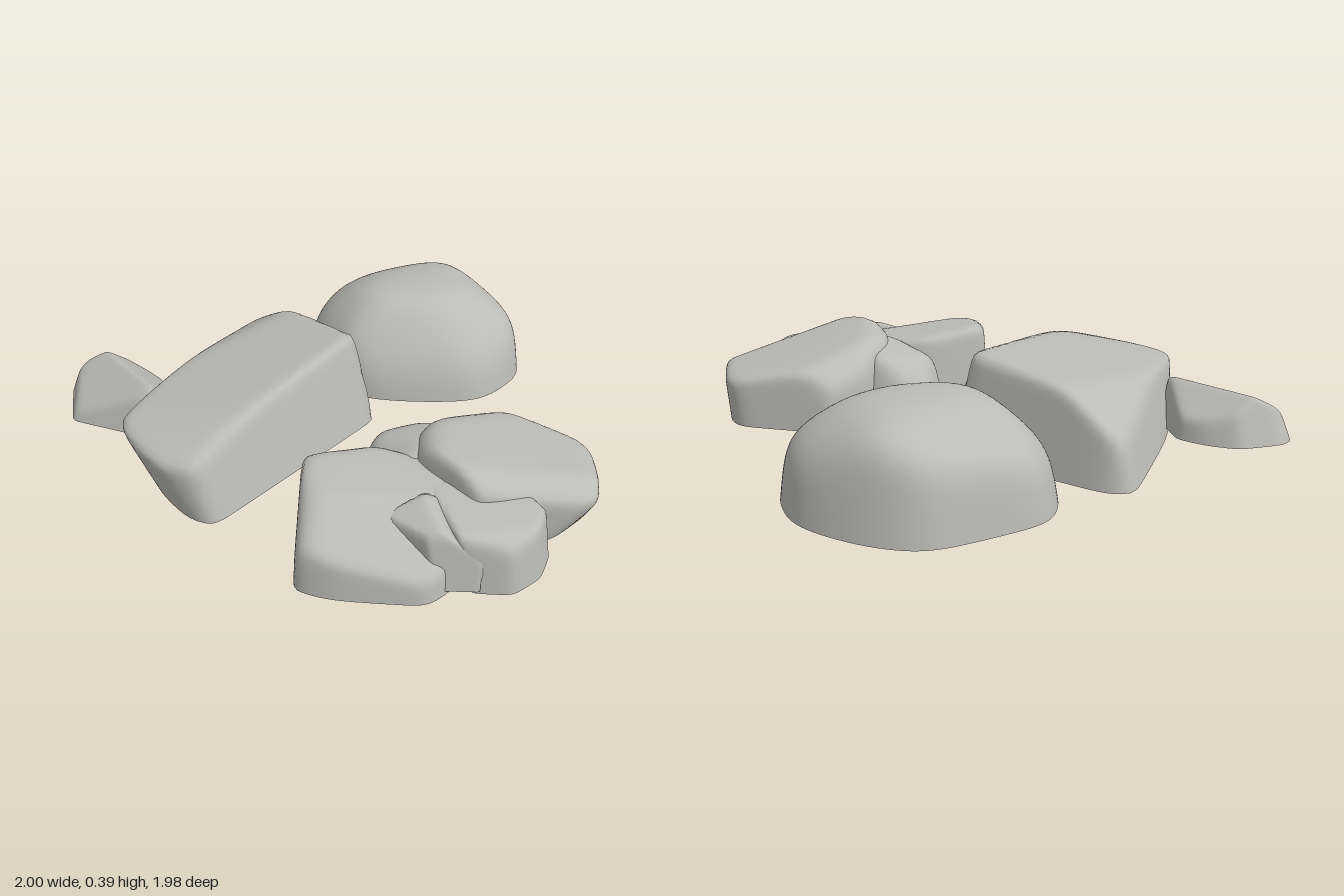
import * as THREE from 'three';
import { mergeGeometries, mergeVertices } from 'three/addons/utils/BufferGeometryUtils.js';

// Rounded rock: walls rise from a base outline, and sloping planes cut the top.
// base: [x, z, lean] corners; lean is the inward slope of the wall that starts there (negative overhangs).
// cuts: [px, py, pz, nx, ny, nz] a point and outward normal of each upper face.
// sharp: how crisp the edges between faces are.
function rockGeometry({ floor, sharp, base, cuts }) {
  const n = base.length;
  const cx = base.reduce((s, b) => s + b[0], 0) / n;
  const cz = base.reduce((s, b) => s + b[1], 0) / n;
  const planes = [];
  base.forEach(([x, z, lean], i) => {
    const next = base[(i + 1) % n];
    const normal = new THREE.Vector3(next[1] - z, 0, x - next[0]).normalize();
    let h = normal.x * (x - cx) + normal.z * (z - cz);
    if (h < 0) { normal.negate(); h = -h; }
    normal.y = lean;
    planes.push(normal.divideScalar(h));
  });
  for (const [px, py, pz, nx, ny, nz] of cuts) {
    const h = nx * (px - cx) + ny * (py - floor) + nz * (pz - cz);
    planes.push(new THREE.Vector3(nx, ny, nz).divideScalar(h));
  }

  // Dome pushed out to the softened planes
  const segments = 112;
  let dome = new THREE.SphereGeometry(1, segments, 36, 0, Math.PI * 2, 0, Math.PI / 2);
  dome.deleteAttribute('uv');
  dome.deleteAttribute('normal');
  const pos = dome.attributes.position;
  const d = new THREE.Vector3();
  const rim = [];
  for (let i = 0; i < pos.count; i++) {
    d.fromBufferAttribute(pos, i);
    d.y = Math.abs(d.y) < 1e-6 ? 0 : d.y * 0.65;
    let sum = 0;
    for (const p of planes) sum += Math.pow(Math.max(0, p.dot(d)), sharp);
    d.multiplyScalar(1.025 * Math.pow(sum, -1 / sharp));
    pos.setXYZ(i, cx + d.x, floor + d.y, cz + d.z);
    if (i >= pos.count - segments - 1 && i < pos.count - 1) rim.push(new THREE.Vector2(cx + d.x, cz + d.z));
  }
  dome = mergeVertices(dome, 1e-5);
  dome.computeVertexNormals();

  // Flat underside
  const under = new THREE.ShapeGeometry(new THREE.Shape(rim));
  under.deleteAttribute('uv');
  under.rotateX(Math.PI / 2).translate(0, floor, 0);
  return mergeGeometries([dome, under]);
}

const rocks = {
  roundBoulder: {
    floor: 0.01, sharp: 13,
    base: [[0.28, -0.985, 0.1], [0.74, -0.975, 0.15], [0.89, -0.84, 0.15], [1.01, -0.55, 0.1], [0.93, -0.27, 0.15],
      [0.68, -0.15, 0.15], [0.45, -0.21, 0.1], [0.2, -0.35, 0.1], [0.1, -0.55, 0.1], [0.11, -0.8, 0.15]],
    cuts: [[0.5, 0.39, -0.62, 0, 1, 0], [0.86, 0.31, -0.6, 0.8, 1, 0], [0.39, 0.25, -0.36, -0.45, 0.75, 0.9],
      [0.7, 0.28, -0.31, 0.2, 1, 0.9], [0.5, 0.31, -0.87, 0, 1, -0.6], [0.2, 0.27, -0.65, -0.9, 0.9, 0],
      [0.27, 0.25, -0.86, -0.6, 1, -0.6]],
  },
  largeSlab: {
    floor: 0.005, sharp: 28,
    base: [[-0.62, 0.23, 0.24], [0.19, -0.19, 0.05], [0.19, -0.28, 0.16], [-0.05, -0.88, 0.1], [-0.13, -0.91, 0.24],
      [-0.6, -0.53, 0.05], [-0.74, -0.38, -0.45], [-0.77, -0.06, -0.3], [-0.7, 0.17, 0]],
    cuts: [[0.05, 0.385, -0.25, -0.16, 1, -0.1], [-0.4, 0.28, -0.55, -0.3, 1, -0.6], [-0.65, 0.275, 0.1, -0.28, 1, 0.1]],
  },
  smallRock: {
    floor: 0.03, sharp: 22,
    base: [[-1.0, -0.6, 0.35], [-0.95, -0.85, 0.35], [-0.88, -0.88, 0.3], [-0.7, -0.83, 0.25], [-0.62, -0.73, 0.15],
      [-0.58, -0.62, 0.15], [-0.67, -0.4, 0.1], [-0.76, -0.39, 0.3]],
    cuts: [[-0.78, 0.2, -0.66, -0.6, 1, 0.15], [-0.74, 0.215, -0.62, 0.7, 1, -0.25]],
  },
  clusterRearRock: {
    floor: 0.015, sharp: 14,
    base: [[0.1, 0.07, 0.25], [0.2, 0.08, 0.25], [0.33, 0.22, 0.2], [0.32, 0.45, 0.1], [0.05, 0.5, 0.1],
      [-0.06, 0.36, 0.15], [-0.02, 0.18, 0.3]],
    cuts: [[0.14, 0.28, 0.3, 0, 1, -0.25], [0.02, 0.24, 0.32, -0.7, 1, 0], [0.12, 0.19, 0.155, 0, 1, -1.1]],
  },
  clusterRightRock: {
    floor: 0.015, sharp: 22,
    base: [[0.08, 0.5, 0.05], [0.14, 0.32, 0.1], [0.3, 0.22, 0], [0.52, 0.19, 0.05], [0.78, 0.45, -0.05],
      [0.79, 0.53, -0.1], [0.72, 0.69, -0.6], [0.48, 0.79, -0.6], [0.36, 0.75, -0.1], [0.18, 0.72, 0.1]],
    cuts: [[0.22, 0.345, 0.48, 0.26, 1, 0], [0.5, 0.21, 0.79, 0.15, 1, 0.8], [0.15, 0.31, 0.4, -0.6, 1, -0.4],
      [0.4, 0.25, 0.25, 0.1, 1, -0.9]],
  },
  clusterLeftRock: {
    floor: 0.015, sharp: 20,
    base: [[-0.3, 0.31, 0.05], [0.0, 0.325, 0.05], [0.2, 0.5, 0.1], [0.2, 0.8, 0.1], [0.0, 0.92, 0.1],
      [-0.06, 0.93, 0.1], [-0.37, 0.78, 0.08], [-0.46, 0.69, 0.05]],
    cuts: [[-0.22, 0.3, 0.5, 0.08, 1, 0.05], [-0.39, 0.245, 0.58, -0.8, 1, 0.25], [-0.15, 0.2, 0.75, -0.1, 1, 0.65]],
  },
  clusterFrontRock: {
    floor: 0.015, sharp: 20,
    base: [[0.12, 0.6, 0], [0.4, 0.6, 0.1], [0.47, 0.85, 0.12], [0.38, 0.95, 0.1], [0.25, 0.99, 0.08], [0.12, 0.93, -0.2]],
    cuts: [[0.25, 0.245, 0.82, 0.06, 1, 0.08], [0.26, 0.21, 0.95, 0, 1, 0.9]],
  },
  clusterChip: {
    floor: 0.03, sharp: 28,
    base: [[-0.05, 0.67, 0], [0.1, 0.67, 0], [0.14, 0.8, -0.15], [0.14, 0.95, 0.15], [0.0, 0.89, 0], [-0.05, 0.8, -0.65]],
    cuts: [[0.0, 0.275, 0.72, -0.4, 1, 0.2], [0.07, 0.255, 0.76, 0.7, 1, 0.25]],
  },
};

export function createModel() {
  const model = new THREE.Group();
  model.name = 'rockGroup';
  const stone = new THREE.MeshStandardMaterial({ color: 0xbbbbb5 });
  stone.name = 'grey stone';
  for (const [name, spec] of Object.entries(rocks)) {
    const mesh = new THREE.Mesh(rockGeometry(spec), stone);
    mesh.name = name;
    model.add(mesh);
  }
  return model;
}
